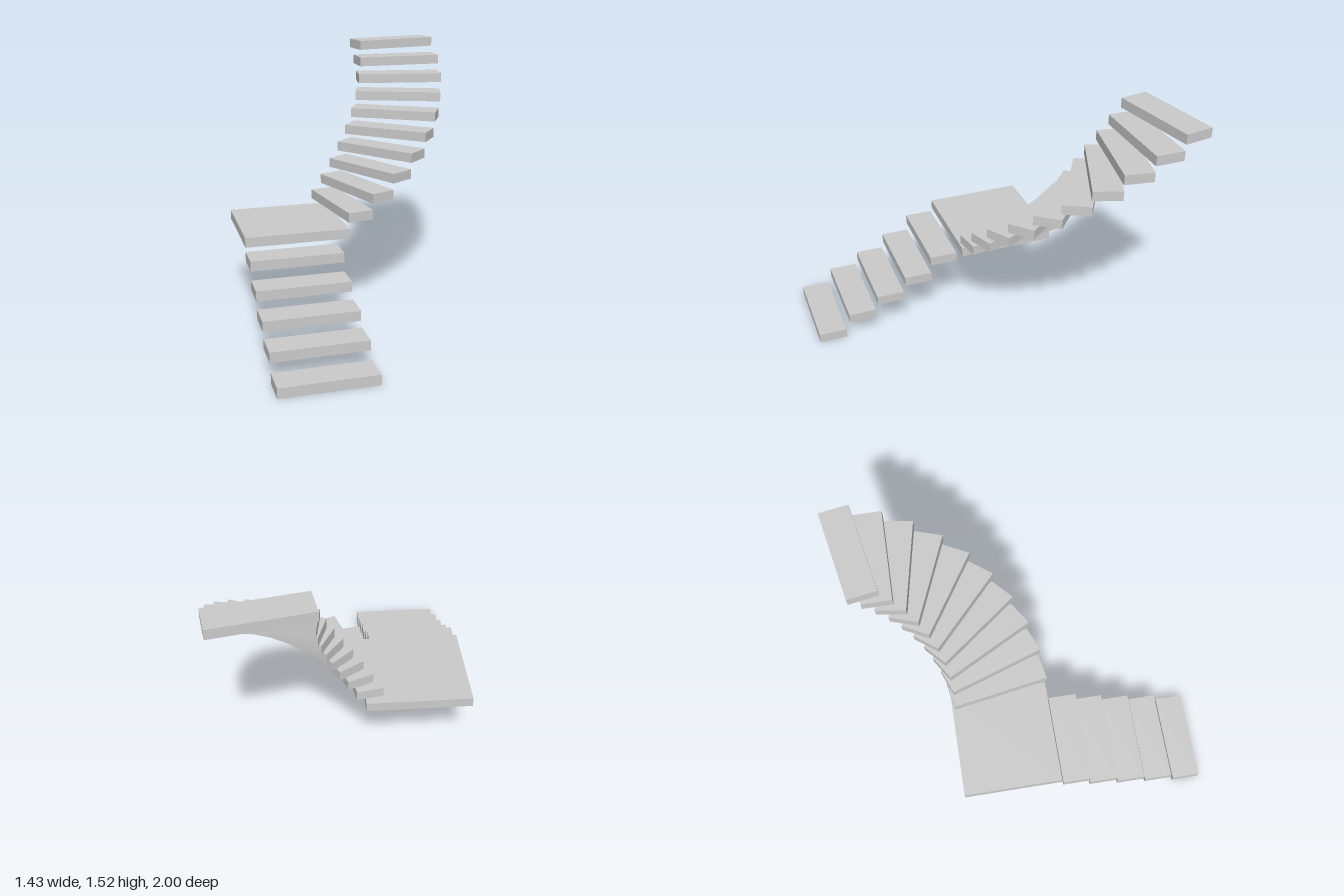
import * as THREE from 'three';

const THICK = 0.057;
const material = new THREE.MeshStandardMaterial({ color: 0xcccccc, flatShading: true });

// A slab placed by the centre of its underside
function slab(name, width, depth, x, bottom, z) {
  const mesh = new THREE.Mesh(new THREE.BoxGeometry(width, THICK, depth), material);
  mesh.name = name;
  mesh.position.set(x, bottom + THICK / 2, z);
  return mesh;
}

export function createModel() {
  const model = new THREE.Group();
  model.name = 'floatingStaircase';

  // Straight lower flight: [underside height, centre z]
  const lowerFlight = new THREE.Group();
  lowerFlight.name = 'lowerFlight';
  [[0, 0.916], [0.1, 0.724], [0.189, 0.541], [0.287, 0.361], [0.397, 0.194]].forEach(([y, z], i) =>
    lowerFlight.add(slab(`straightTread${i + 1}`, 0.53, 0.167, -0.454, y, z)));
  model.add(lowerFlight);

  // Square landing at the corner
  model.add(slab('landing', 0.608, 0.575, -0.413, 0.475, -0.187));

  // Curved upper flight: treads turn 10 degrees each around an arc,
  // and the whole flight is slightly narrowed across x
  const upperFlight = new THREE.Group();
  upperFlight.name = 'upperFlight';
  upperFlight.scale.x = 0.9225;
  const radius = 0.626, centreX = -0.146, centreZ = -0.811;
  for (let i = 0; i < 10; i++) {
    const turn = THREE.MathUtils.degToRad(80 - 10 * i);
    const around = turn + THREE.MathUtils.degToRad(5);
    const tread = slab(`curvedTread${i + 1}`, 0.5745, 0.167,
      centreX + radius * Math.cos(around), 0.572 + 0.0987 * i, centreZ + radius * Math.sin(around));
    tread.rotation.y = -turn;
    upperFlight.add(tread);
  }
  model.add(upperFlight);

  return model;
}
